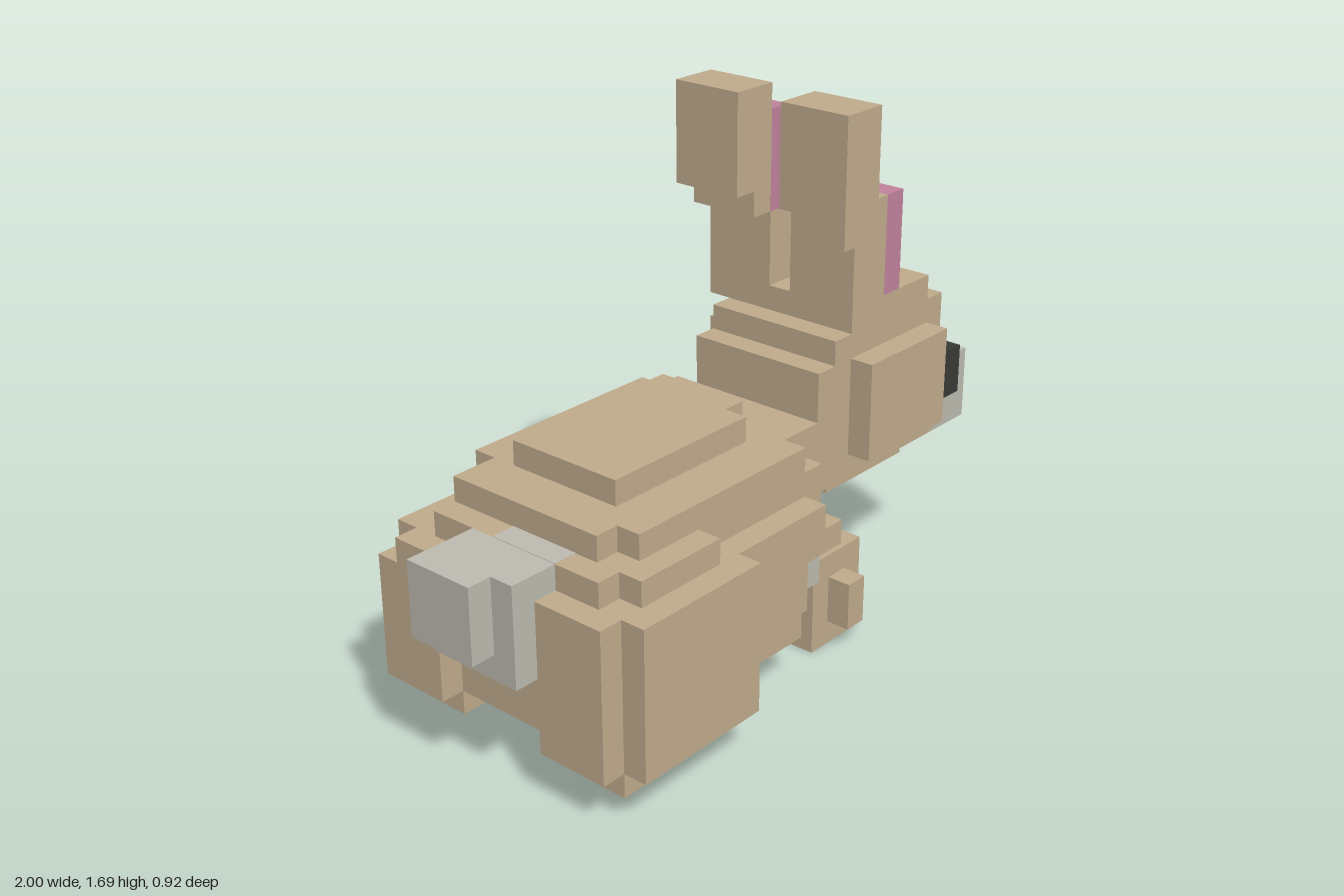
import * as THREE from 'three';

const U = 1 / 13; // edge of one block unit
const mat = (name, color) => {
  const m = new THREE.MeshStandardMaterial({ color });
  m.name = name;
  return m;
};

export function createModel() {
  const fur = mat('tan fur', 0xbfab8c);
  const pale = mat('pale grey fur', 0xbcbab0);
  const pink = mat('pink skin', 0xc0829c);
  const dark = mat('dark eye', 0x393a34);
  const model = new THREE.Group();
  model.name = 'blockRabbit';

  // One part made of boxes, each given as [x0, x1, y0, y1, z0, z1] in units
  const part = (name, material, ...boxes) => {
    const group = new THREE.Group();
    group.name = name;
    for (const [x0, x1, y0, y1, z0, z1] of boxes) {
      const geo = new THREE.BoxGeometry((x1 - x0) * U, (y1 - y0) * U, (z1 - z0) * U);
      const mesh = new THREE.Mesh(geo, material);
      mesh.name = name + 'Block';
      mesh.position.set((x0 + x1) * U / 2, (y0 + y1) * U / 2, (z0 + z1) * U / 2);
      group.add(mesh);
    }
    model.add(group);
  };

  // Torso: core and stepped back
  part('torso', fur,
    [-10, 1, 2, 9, -4, 4],
    [1, 2, 5, 9, -4, 4],
    [-9, 2, 9, 10, -4, 3],
    [-7, 2, 8, 10, -5, -4],
    [-8, 1, 9, 10, 3, 4],
    [-7, 0, 10, 11, -3, 2],
    [0, 1, 10, 11, -3, 1]);

  // Neck and front of the chest
  part('neck', fur,
    [2, 3, 5, 10, -3, 3],
    [2, 3, 7, 10, -4, 3],
    [3, 4, 4, 7, -2, 2]);
  part('chestPatch', pale,
    [1, 3, 4, 5, -3, 3],
    [0, 2, 4, 6, 3, 4.02],
    [1, 2, 3, 4, -1, 3],
    [2, 3.02, 5, 6, 2, 3.02]);

  // Flanks and hind legs
  part('leftFlank', fur,
    [-11, -3, 2, 8, 4, 5],
    [-3, 0, 4, 8, 4, 5],
    [0, 1, 6, 8, 4, 5],
    [1, 2, 6, 7, 4, 5],
    [-9, -5, 8, 9, 4, 5],
    [-10, -4, 2, 8, 5, 6],
    [-11, -10, 2, 8, 2, 4]);
  part('rightFlank', fur,
    [-11, 1, 2, 8, -5, -4],
    [1, 2, 4, 8, -5, -4],
    [-10, -3, 2, 8, -6, -5],
    [-3, 0, 3, 8, -6, -5],
    [0, 1, 4, 8, -6, -5],
    [1, 2, 6, 8, -6, -5],
    [-11, -10, 2, 7, -6, -5],
    [-11, -10, 2, 8, -4, -3]);
  part('hindFeet', fur,
    [-10, -4, 1, 2, 3, 5],
    [-10, -4, 1, 2, -5, -3]);

  // Front legs
  part('frontLegs', fur,
    [3, 6, 0, 4, 1, 3],
    [4, 5, 1, 3, 3, 4],
    [3, 6, 0, 4, -4, -2]);

  // Tail
  part('tail', pale,
    [-13, -12, 6, 9, -2, 1],
    [-12, -11, 5, 9, -2, 2],
    [-11, -10, 6, 9, -2, 2],
    [-10, -9, 8, 9.02, -1, 2]);

  // Head
  part('head', fur,
    [4, 11, 7, 13, -3, 3],
    [3, 4, 7, 12, -3, 3],
    [5, 10, 8, 12, -4, 4],
    [5, 10, 6, 7, -3, 2],
    [5, 10, 13, 14, -3, 3],
    [11, 12, 9, 12, -2, 2]);
  part('muzzle', pale,
    [10, 13, 7, 9, -2, 3],
    [12, 13, 9, 10, -2, -1],
    [12, 13, 9, 10, 1, 3],
    [11, 12, 9, 10, 2, 3]);
  part('nose', pink, [12, 13, 9, 10, -1, 1]);

  // Eyes
  for (const z of [-4, 3]) part('eye', dark, [10, 11, 9, 11, z, z + 1]);

  // Ears, leaning back in two steps
  part('leftEar', fur,
    [5, 7, 14, 18, 0, 3],
    [3, 5, 18, 22, 1, 4],
    [4, 5, 17, 18, 1, 4],
    [3, 4, 17, 18, 2, 4]);
  part('rightEar', fur,
    [5, 7, 14, 18, -4, -1],
    [5, 6, 13, 14, -4, -3],
    [3, 5, 18, 22, -4, -1],
    [4, 5, 17, 18, -4, -1]);
  for (const z of [-3, 1]) {
    part('innerEar', pink,
      [7, 8, 14, 18, z, z + 2],
      [5, 6, 18, 21, z, z + 2],
      [5, 6.02, 17, 18.02, z - 0.02, z + 2.02]);
  }
  return model;
}
